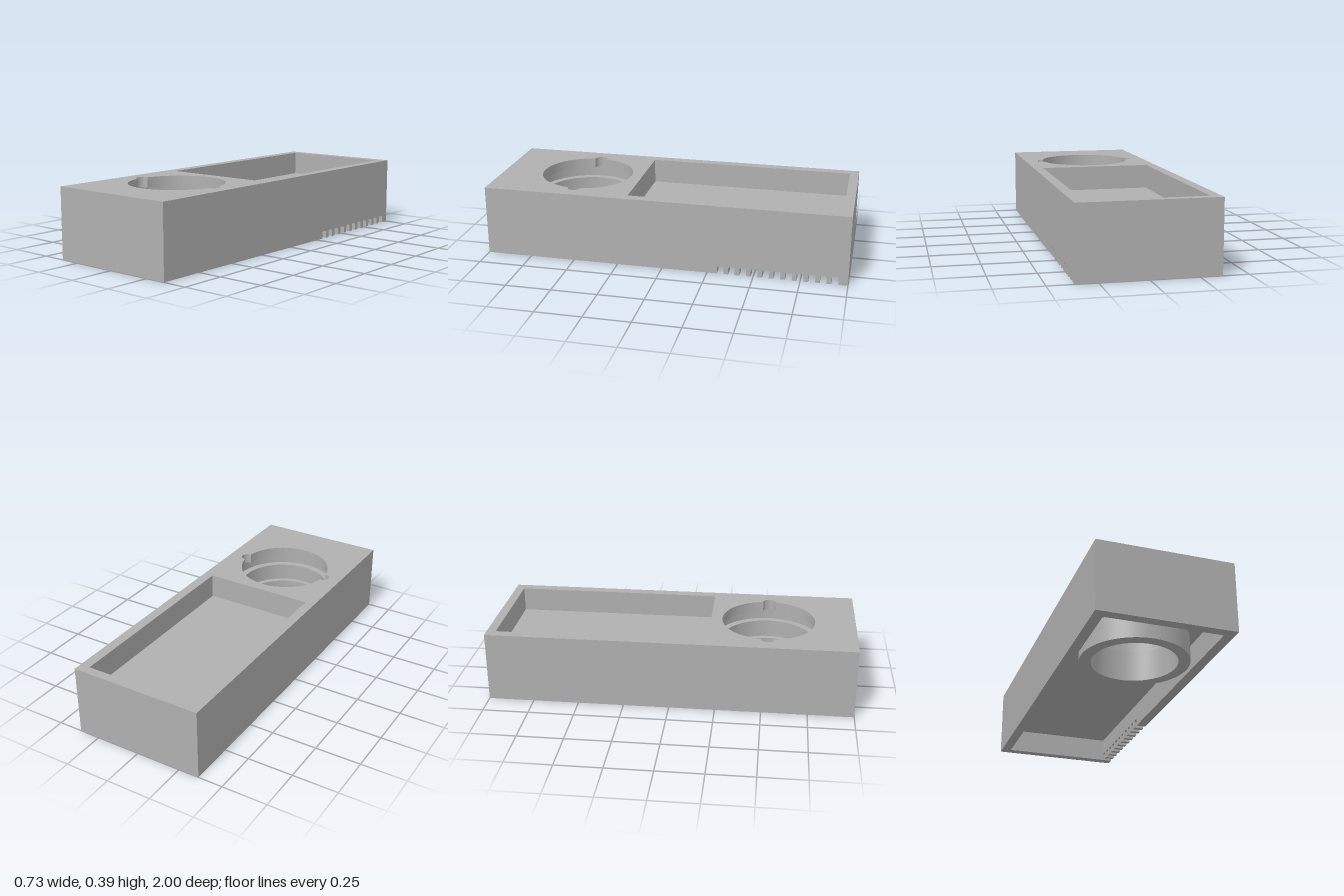
import * as THREE from 'three';
import { toCreasedNormals } from 'three/addons/utils/BufferGeometryUtils.js';

// Plan coordinates are (x, v) with v = -z.
const X = 0.365, XI = 0.31, H = 0.386;       // outer half width, inner half width, height
const CEILING = 0.135, FLOOR = 0.25;         // underside cavity top, tray floor
const BORE_V = -0.52;                        // centre of the round socket
const LEDGE = 0.17, GROOVE0 = 0.268, GROOVE1 = 0.329;
const R_BORE = 0.227, R_SOCKET = 0.257, R_RING = 0.289, R_GROOVE = 0.295, R_NOTCH = 0.035;

const V = (x, v) => new THREE.Vector2(x, v);
const circle = (r, n = 96) => Array.from({ length: n }, (_, i) => {
  const a = (i / n) * Math.PI * 2;
  return V(r * Math.cos(a), BORE_V + r * Math.sin(a));
});
const rect = (x0, v0, x1, v1) => [V(x0, v0), V(x1, v0), V(x1, v1), V(x0, v1)];

// Socket outline with a round notch on either side
function keyhole() {
  const f = 2 * Math.asin(R_NOTCH / (2 * R_SOCKET)), h = Math.PI / 2 + f / 2, P = Math.PI;
  const path = new THREE.Path();
  path.absarc(R_SOCKET, BORE_V, R_NOTCH, -h, h);
  path.absarc(0, BORE_V, R_SOCKET, f, P - f);
  path.absarc(-R_SOCKET, BORE_V, R_NOTCH, P - h, P + h);
  path.absarc(0, BORE_V, R_SOCKET, P + f, 2 * P - f);
  const pts = path.getPoints(40).filter((p, i, a) => !i || p.distanceTo(a[i - 1]) > 1e-5);
  if (pts[0].distanceTo(pts[pts.length - 1]) < 1e-5) pts.pop();
  return pts;
}

export function createModel() {
  const group = new THREE.Group();
  const grey = new THREE.MeshStandardMaterial({ color: 0xb0b0b0, side: THREE.DoubleSide });
  grey.name = 'plain grey';

  const add = (name, geo) => {
    const mesh = new THREE.Mesh(geo, grey);
    mesh.name = name;
    group.add(mesh);
  };

  // Horizontal face at height y
  const flat = (name, pts, y, up, holes = []) => {
    const shape = new THREE.Shape(pts);
    holes.forEach(h => shape.holes.push(new THREE.Path(h)));
    const geo = new THREE.ShapeGeometry(shape).rotateX(-Math.PI / 2).translate(0, y, 0);
    if (!up) {
      const ix = geo.index.array;
      for (let i = 0; i < ix.length; i += 3) [ix[i], ix[i + 1]] = [ix[i + 1], ix[i]];
      geo.computeVertexNormals();
    }
    add(name, geo);
  };

  // Vertical band along an outline; counter-clockwise faces out, clockwise faces in
  const wall = (name, pts, y0, y1, closed = true) => {
    const pos = [], n = pts.length;
    for (let i = 0; i < (closed ? n : n - 1); i++) {
      const a = pts[i], b = pts[(i + 1) % n];
      pos.push(a.x, y0, -a.y, b.x, y0, -b.y, b.x, y1, -b.y);
      pos.push(a.x, y0, -a.y, b.x, y1, -b.y, a.x, y1, -a.y);
    }
    const geo = new THREE.BufferGeometry();
    geo.setAttribute('position', new THREE.Float32BufferAttribute(pos, 3));
    add(name, toCreasedNormals(geo, 0.5));
  };
  const inside = pts => [...pts].reverse();

  // Body outline, open on the side where the slotted wall closes it
  const outline = [V(XI, 1), V(-X, 1), V(-X, -1), V(XI, -1)];
  const recess = v0 => [V(XI, v0), V(-XI, v0), V(-XI, 0.95), V(XI, 0.95)];
  const cavity = recess(-0.945), tray = recess(-0.2);
  const key = keyhole();

  wall('outerWalls', outline, 0, H, false);
  flat('topFace', [...outline, ...tray], H, true, [key]);
  flat('bottomRim', [...outline, ...cavity], 0, false);

  // Rectangular tray on top
  wall('trayWalls', tray, FLOOR, H, false);
  flat('trayFloor', rect(-XI, -0.2, XI, 0.95), FLOOR, true);

  // Hollow underside
  wall('cavityWalls', cavity, 0, CEILING, false);
  flat('cavityCeiling', rect(-XI, -0.945, XI, 0.95), CEILING, false, [circle(R_RING)]);

  // Ring hanging in the hollow
  wall('ringOutside', circle(R_RING), 0, CEILING);
  flat('ringBottom', circle(R_RING), 0, false, [circle(R_BORE)]);

  // Stepped socket with locking groove and notches
  wall('bore', inside(circle(R_BORE)), 0, LEDGE);
  flat('boreLedge', circle(R_SOCKET), LEDGE, true, [circle(R_BORE)]);
  wall('socketWall', inside(circle(R_SOCKET)), LEDGE, GROOVE0);
  flat('grooveFloor', circle(R_GROOVE), GROOVE0, true, [circle(R_SOCKET)]);
  wall('grooveWall', inside(circle(R_GROOVE)), GROOVE0, GROOVE1);
  flat('grooveCeiling', circle(R_GROOVE), GROOVE1, false, [key]);
  wall('notchedCollar', inside(key), GROOVE1, H);

  // Side wall with a row of vent slots along its lower edge
  const side = new THREE.Shape();
  const w = 0.018, h = 0.043, r = 0.008;
  side.moveTo(-1, 0);
  for (let i = 0; i < 11; i++) {
    const u = 0.322 + i * 0.061;
    side.lineTo(u - w, 0);
    side.lineTo(u - w, h - r);
    side.quadraticCurveTo(u - w, h, u - w + r, h);
    side.lineTo(u + w - r, h);
    side.quadraticCurveTo(u + w, h, u + w, h - r);
    side.lineTo(u + w, 0);
  }
  side.lineTo(1, 0);
  side.lineTo(1, H);
  side.lineTo(-1, H);
  side.closePath();
  const slab = new THREE.ExtrudeGeometry(side, { depth: X - XI, bevelEnabled: false, curveSegments: 4 });
  add('slottedWall', slab.rotateY(Math.PI / 2).translate(XI, 0, 0));

  return group;
}
